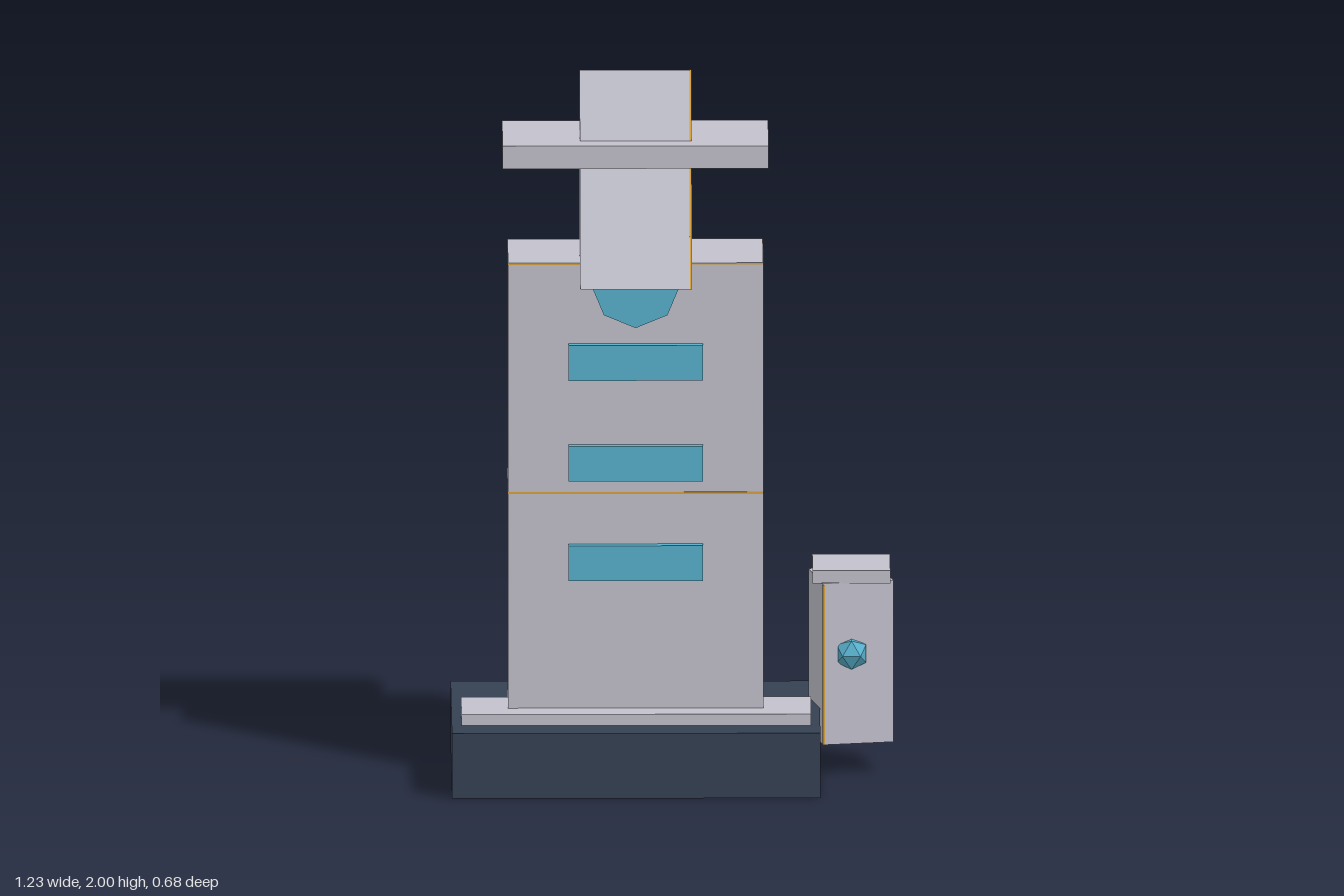
import * as THREE from 'three';

const mat = (name, color) => {
  const m = new THREE.MeshStandardMaterial({ color });
  m.name = name;
  return m;
};

export function createModel() {
  const stone = mat('pale stone', 0xc2c1cd);
  const navy = mat('dark navy', 0x354153);
  const glass = mat('blue glass', 0x58b0cc);
  const gold = mat('gold trim', 0xd9a23a);
  stone.flatShading = navy.flatShading = glass.flatShading = gold.flatShading = true;

  const model = new THREE.Group();
  model.name = 'tower';
  const CX = -0.105; // tower axis

  const add = (name, geometry, material, parent = model) => {
    const mesh = new THREE.Mesh(geometry, material);
    mesh.name = name;
    parent.add(mesh);
    return mesh;
  };
  // Box given by its limits on each axis
  const box = (name, material, [x0, x1], [y0, y1], [z0, z1], parent) => {
    const mesh = add(name, new THREE.BoxGeometry(x1 - x0, y1 - y0, z1 - z0), material, parent);
    mesh.position.set((x0 + x1) / 2, (y0 + y1) / 2, (z0 + z1) / 2);
    return mesh;
  };
  // Triangular prism running along x
  const prism = (name, material, x0, x1, halfDepth, y0, y1) => {
    const shape = new THREE.Shape([
      new THREE.Vector2(-halfDepth, y0),
      new THREE.Vector2(halfDepth, y0),
      new THREE.Vector2(0, y1),
    ]);
    const g = new THREE.ExtrudeGeometry(shape, { depth: x1 - x0, bevelEnabled: false });
    g.rotateY(Math.PI / 2).translate(x0, 0, 0);
    return add(name, g, material);
  };

  // Base and front step
  box('base', navy, [-0.617, 0.408], [0, 0.185], [-0.34, 0.34]);
  box('frontStep', stone, [-0.59, 0.383], [0.185, 0.217], [0.01, 0.238]);

  // Tower body with thin gold seams
  box('towerBody', stone, [-0.46, 0.25], [0.185, 1.485], [-0.155, 0.158]);
  box('middleSeam', gold, [-0.461, 0.251], [0.827, 0.833], [-0.156, 0.159]);
  box('topSeam', gold, [-0.461, 0.251], [1.48, 1.484], [-0.156, 0.159]);

  // Window panes, front and back
  for (const y of [0.585, 0.868, 1.155]) {
    box('frontWindow', glass, [CX - 0.187, CX + 0.187], [y, y + 0.1], [0.15, 0.184]);
  }
  for (const y of [0.695, 1.04]) {
    box('backWindow', glass, [CX - 0.155, CX + 0.155], [y, y + 0.1], [-0.183, -0.15]);
  }

  // Eight-sided round window under the eave
  const disc = add('roundWindow', new THREE.CylinderGeometry(0.125, 0.125, 0.034, 8), glass);
  disc.rotation.x = Math.PI / 2;
  disc.position.set(CX, 1.43, 0.167);

  // Gable roof with a gold edge strip, and the slab through it
  prism('roof', stone, -0.26, 0.051, 0.32, 1.445, 2);
  prism('roofEdge', gold, 0.045, 0.05, 0.321, 1.445, 2.001);
  box('roofSlab', stone, [-0.475, 0.265], [1.755, 1.82], [-0.167, 0.167]);

  // Turned side pillar with cap and lamp
  const pillar = new THREE.Group();
  pillar.name = 'sidePillar';
  pillar.position.set(0.495, 0, -0.057);
  pillar.rotation.y = 0.2;
  model.add(pillar);
  box('pillarShaft', stone, [-0.1, 0.1], [0.09, 0.55], [-0.1, 0.1], pillar);
  box('pillarTrim', gold, [-0.101, -0.095], [0.091, 0.545], [0.095, 0.101], pillar);
  box('pillarCap', stone, [0.388, 0.604], [0.547, 0.584], [-0.168, 0.05]);
  const lamp = add('lamp', new THREE.IcosahedronGeometry(0.048, 0), glass);
  lamp.rotation.z = Math.PI / 2;
  lamp.position.set(0.496, 0.347, 0.045);

  return model;
}
